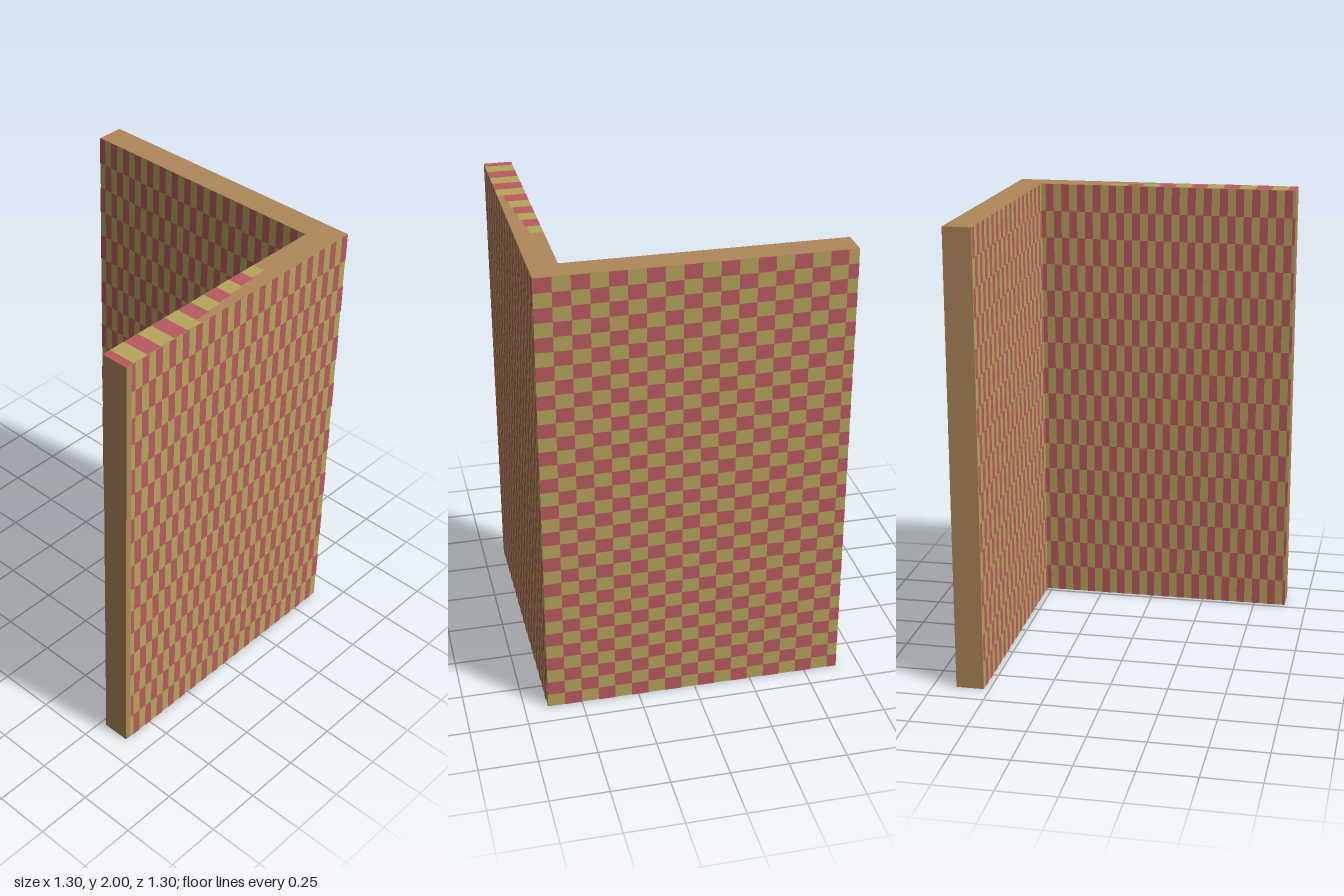
import * as THREE from 'three';
import { mergeGeometries } from 'three/addons/utils/BufferGeometryUtils.js';

const mat = (name, hex) => {
  const m = new THREE.MeshStandardMaterial({ color: hex });
  m.name = name;
  return m;
};

export function createModel() {
  const group = new THREE.Group();
  const tan = mat('tan', 0xb0885a);
  const yellow = mat('yellow', 0xb5a55a);
  const red = mat('red', 0xb95a5f);
  const H = 2, R = 0.648, I = 0.527; // height, outer half width, inner corner

  const add = (parent, name, geometry, material) => {
    const mesh = new THREE.Mesh(geometry, material);
    mesh.name = name;
    parent.add(mesh);
  };

  // L-shaped wall body, extruded upwards
  const plan = new THREE.Shape([
    [-R, R], [R, R], [R, -R], [I, -R], [I, I], [-R, I],
  ].map(([x, y]) => new THREE.Vector2(x, y)));
  const body = new THREE.ExtrudeGeometry(plan, { depth: H, bevelEnabled: false });
  body.rotateX(-Math.PI / 2);
  add(group, 'wallBody', body, tan);

  // Thin facing in local x/y looking along +z: yellow sheet with staggered red bricks
  const facing = (name, a, b, cell, rowHeight, phase) => {
    const panel = new THREE.Group();
    panel.name = name;
    const sheet = new THREE.PlaneGeometry(b - a, H);
    sheet.translate((a + b) / 2, H / 2, 0.001);
    add(panel, name + 'Sheet', sheet, yellow);
    const bricks = [];
    const rows = Math.round(H / rowHeight);
    for (let row = 0; row < rows; row++) {
      const start = phase + (row % 2) * cell;
      const first = Math.floor((a - start) / (2 * cell));
      for (let i = first; start + i * 2 * cell < b; i++) {
        const x0 = Math.max(a, start + i * 2 * cell);
        const x1 = Math.min(b, start + i * 2 * cell + cell);
        if (x1 - x0 < 0.002) continue;
        const brick = new THREE.PlaneGeometry(x1 - x0, rowHeight);
        brick.translate((x0 + x1) / 2, H - (row + 0.5) * rowHeight, 0.003);
        bricks.push(brick);
      }
    }
    add(panel, name + 'Bricks', mergeGeometries(bricks), red);
    group.add(panel);
    return panel;
  };

  const front = facing('frontFacing', -R, I, 0.0368, 0.125, -0.579);
  front.position.z = -I;

  const outer = facing('leftOuterFacing', -R + 0.025, R, 0.0368, 0.125, R - 0.0368);
  outer.rotation.y = Math.PI / 2;
  outer.position.x = R;

  const inner = facing('leftInnerFacing', -I, R, 0.0368, 0.125, -0.579);
  inner.rotation.y = -Math.PI / 2;
  inner.position.x = I;

  const back = facing('backFacing', -R, R, 0.0737, 0.0625, -R);
  back.rotation.y = Math.PI;
  back.position.z = -R;

  // Striped cap on top of the side wall, fading out towards the corner
  const cap = (z0, z1, x0, x1, y) => {
    const g = new THREE.PlaneGeometry(x1 - x0, z1 - z0);
    g.rotateX(-Math.PI / 2);
    g.translate((x0 + x1) / 2, y, (z0 + z1) / 2);
    return g;
  };
  const capYellow = [], capRed = [];
  for (let i = 0; i < 12; i++) {
    const z1 = Math.min(R, 0.684 - i * 0.0737);
    const z0 = 0.684 - (i + 1) * 0.0737;
    const x1 = z1 > 0.3 ? R : I + 0.12 * Math.max(0.35, 0.85 - (0.3 - z1) * 0.9);
    (i % 2 ? capYellow : capRed).push(cap(z0, z1, I, x1, H + 0.001));
  }
  add(group, 'topYellowStripes', mergeGeometries(capYellow), yellow);
  add(group, 'topRedStripes', mergeGeometries(capRed), red);

  return group;
}
